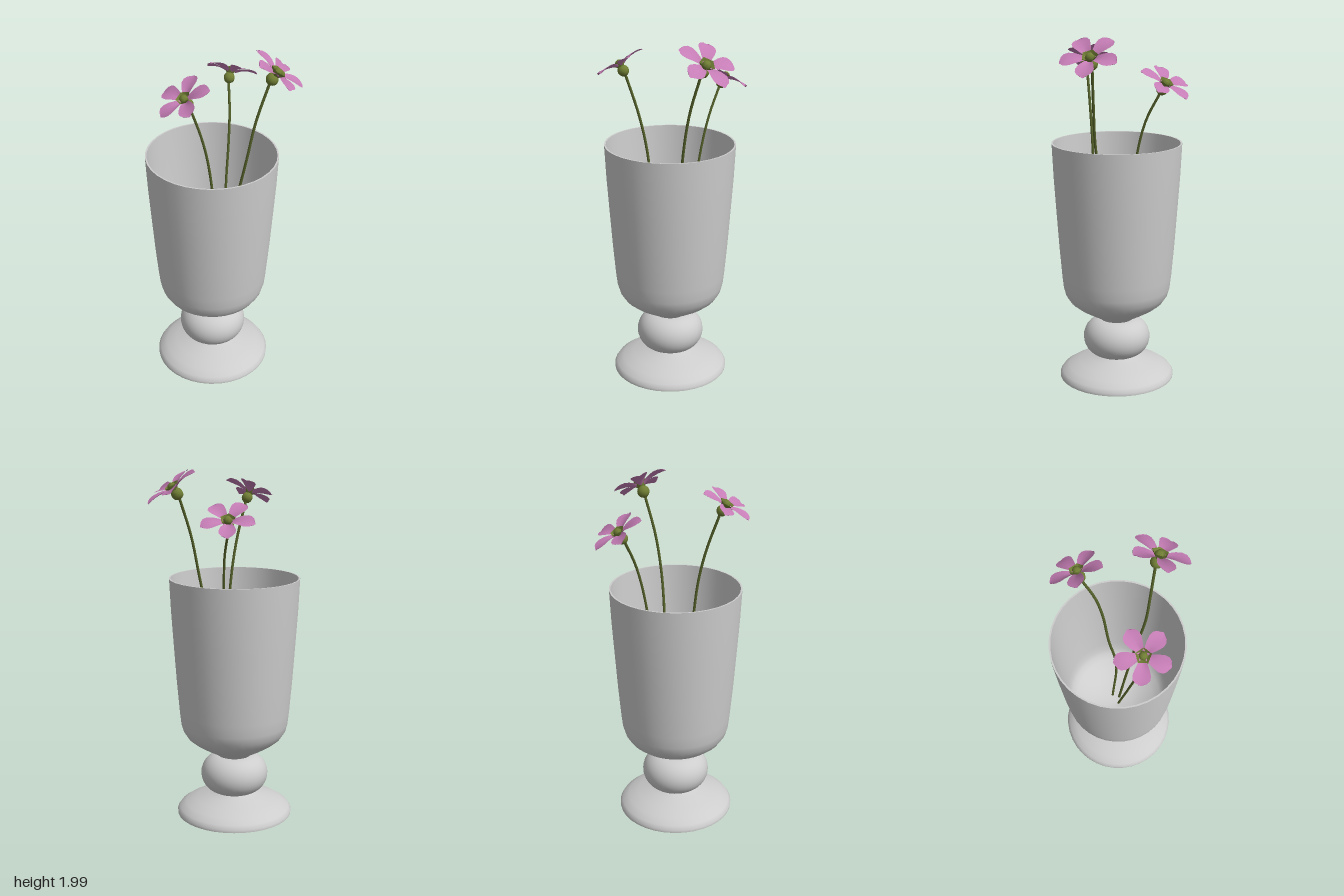
import * as THREE from 'three';

const mat = (name, color, extra = {}) => Object.assign(new THREE.MeshStandardMaterial({ color, ...extra }), { name });
const glass = mat('pale grey', 0xcdcdcd);
const pink = mat('petal pink', 0xc57db5, { side: THREE.DoubleSide });
const olive = mat('olive green', 0x717f35, { side: THREE.DoubleSide });
const stemGreen = mat('stem green', 0x55622a);

const V = (x, y, z) => new THREE.Vector3(x, y, z);

function add(parent, name, geometry, material) {
  const mesh = new THREE.Mesh(geometry, material);
  mesh.name = name;
  parent.add(mesh);
  return mesh;
}

const lathe = (points) => new THREE.LatheGeometry(points.map(([r, y]) => new THREE.Vector2(r, y)), 36);

// Petal: narrow at its base, broad and rounded at the tip, gently cupped
function petalGeometry() {
  const profile = [[0.018, 0.013, -0.002], [0.045, 0.024, 0.010], [0.075, 0.037, 0.018],
    [0.105, 0.046, 0.021], [0.128, 0.043, 0.020], [0.143, 0.031, 0.017], [0.151, 0.014, 0.014]];
  const across = 4;
  const g = new THREE.PlaneGeometry(1, 1, across, profile.length - 1);
  const p = g.attributes.position;
  profile.forEach(([r, half, h], i) => {
    for (let j = 0; j <= across; j++) {
      const s = (j / across) * 2 - 1;
      p.setXYZ(i * (across + 1) + j, r - 0.006 * s * s, h + 0.007 * s * s, half * s);
    }
  });
  g.computeVertexNormals();
  return g;
}

// Flower head facing its local +y
function makeFlower(name, centre, normal, phase, scale) {
  const head = new THREE.Group();
  head.name = name;
  const petal = petalGeometry();
  for (let i = 0; i < 5; i++) {
    add(head, 'petal', petal, pink).rotation.y = -(phase + i * 72) * Math.PI / 180;
  }
  const bulb = add(head, 'calyxBulb', new THREE.SphereGeometry(0.032, 10, 8), olive);
  bulb.position.y = -0.032;
  add(head, 'calyxCup', new THREE.CylinderGeometry(0.043, 0.02, 0.03, 5, 1, true), olive).position.y = 0.008;
  const knob = add(head, 'flowerCentre', new THREE.SphereGeometry(0.025, 6, 5), olive);
  knob.position.y = 0.01;
  head.position.copy(centre);
  head.quaternion.setFromUnitVectors(V(0, 1, 0), normal);
  head.scale.setScalar(scale);
  return head;
}

export function createModel() {
  const model = new THREE.Group();
  model.name = 'vaseWithFlowers';

  // Goblet-shaped vase
  const vase = new THREE.Group();
  vase.name = 'vase';
  vase.position.set(-0.013, 0, -0.036);
  model.add(vase);
  add(vase, 'footUnderside', lathe([[0, 0.004], [0.331, 0.004]]), glass);
  add(vase, 'foot', lathe([[0.331, 0.004], [0.332, 0.02], [0.318, 0.042], [0.28, 0.068],
    [0.22, 0.092], [0.15, 0.114], [0.11, 0.128], [0.085, 0.142]]), glass);
  const bead = [];
  for (let i = 0; i <= 16; i++) {
    const a = -Math.PI / 2 + (i / 16) * Math.PI;
    bead.push([0.085 + 0.108 * Math.cos(a), 0.243 + 0.112 * Math.sin(a)]);
  }
  add(vase, 'bead', lathe(bead), glass);
  add(vase, 'bowlOutside', lathe([[0.085, 0.345], [0.11, 0.366], [0.17, 0.399], [0.225, 0.432],
    [0.268, 0.466], [0.294, 0.505], [0.307, 0.55], [0.315, 0.62], [0.33, 0.8], [0.345, 1.02],
    [0.357, 1.2], [0.366, 1.392]]), glass);
  add(vase, 'rim', lathe([[0.366, 1.392], [0.357, 1.392]]), glass);
  add(vase, 'bowlInside', lathe([[0.357, 1.392], [0.347, 1.2], [0.335, 1.02], [0.319, 0.8],
    [0.304, 0.62], [0.295, 0.55], [0.28, 0.512], [0.255, 0.478], [0.21, 0.445], [0.15, 0.412],
    [0.08, 0.385], [0, 0.375]]), glass);

  // Flowers: head centre, facing direction, petal phase, size, stem path from the vase floor
  const flowers = [
    ['leanRight', V(-0.275, 1.838, 0.02), V(-0.5, 0.85, -0.13), -16, 0.98,
      [V(-0.033, 0.42, -0.04), V(-0.055, 0.72, 0.02), V(-0.1, 1.08, 0.06), V(-0.135, 1.39, 0.054), V(-0.178, 1.58, 0.045)]],
    ['leanLeft', V(0.28, 1.738, -0.165), V(0.5, 0.83, -0.2), -28, 0.99,
      [V(0.028, 0.42, -0.06), V(0.082, 0.8, -0.02), V(0.12, 1.1, -0.052), V(0.165, 1.39, -0.072), V(0.203, 1.55, -0.1)]],
    ['leanFront', V(0.187, 1.885, 0.232), V(0.4, 0.8, 0.42), -28, 1.08,
      [V(0.005, 0.42, -0.025), V(0.03, 0.8, 0.035), V(0.05, 1.1, 0.085), V(0.07, 1.39, 0.142), V(0.105, 1.62, 0.172)]],
  ];
  for (const [name, centre, dir, phase, scale, path] of flowers) {
    const normal = dir.normalize();
    const end = centre.clone().addScaledVector(normal, -0.05);
    const curve = new THREE.CatmullRomCurve3([...path, end]);
    add(model, name + 'Stem', new THREE.TubeGeometry(curve, 28, 0.0075, 6), stemGreen);
    model.add(makeFlower(name + 'Flower', centre, normal, phase, scale));
  }
  return model;
}
